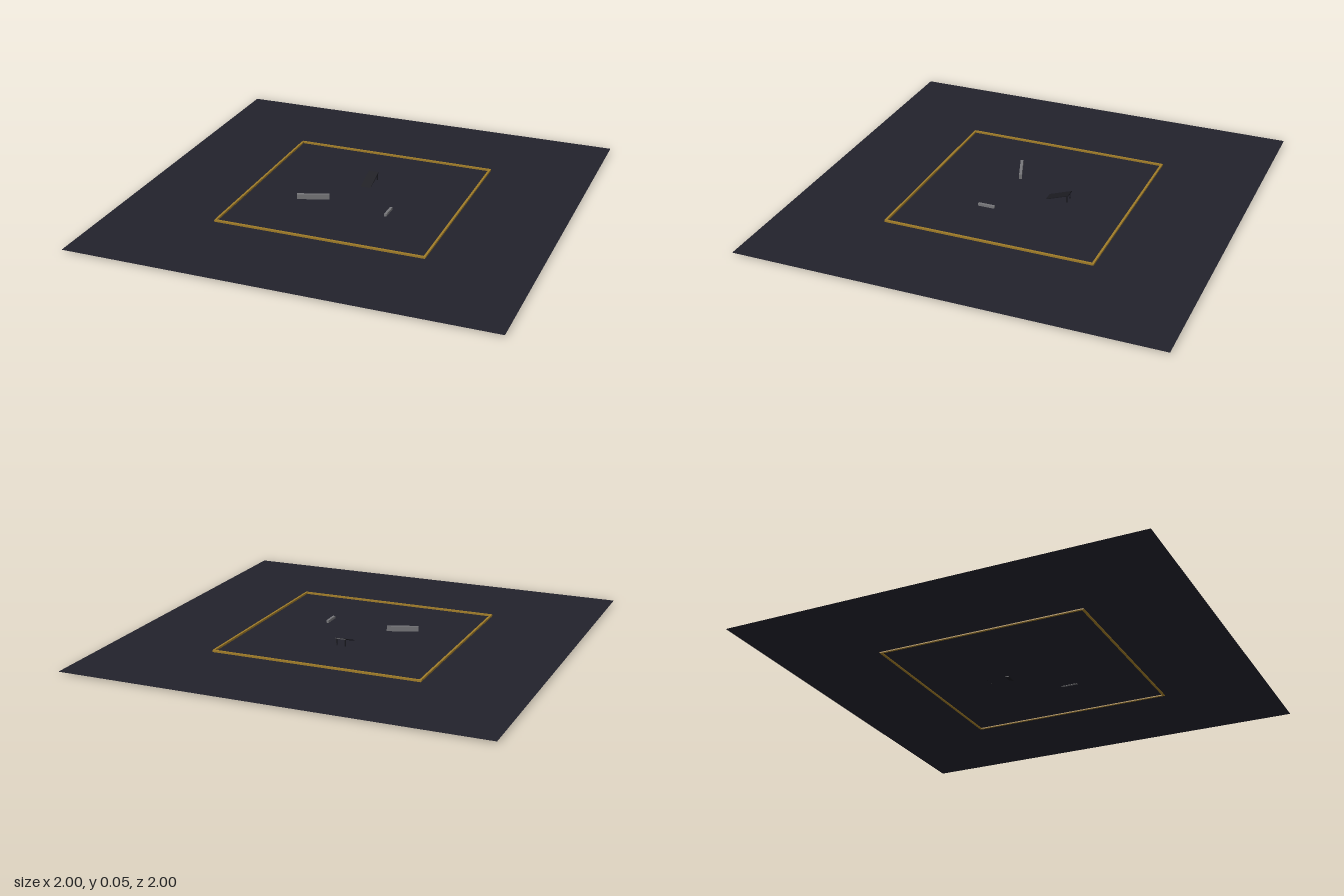
import * as THREE from 'three';

const paint = (name, color, side = THREE.FrontSide) => {
  const m = new THREE.MeshStandardMaterial({ color, side });
  m.name = name;
  return m;
};

export function createModel() {
  const model = new THREE.Group();
  const floorPaint = paint('dark floor', 0x22222c, THREE.DoubleSide);
  const gold = paint('gold', 0xa07c28);
  const grey = paint('grey', 0x77777a);
  const black = paint('black', 0x1a1a20);
  const FLOOR = 0.01;

  const box = (name, material, w, h, d, x, y, z, parent = model) => {
    const mesh = new THREE.Mesh(new THREE.BoxGeometry(w, h, d), material);
    mesh.name = name;
    mesh.position.set(x, y, z);
    parent.add(mesh);
    return mesh;
  };

  // Flat ground sheet
  const floor = new THREE.Mesh(new THREE.PlaneGeometry(2, 2), floorPaint);
  floor.name = 'floor';
  floor.rotation.x = -Math.PI / 2;
  floor.position.y = FLOOR;
  model.add(floor);

  // Low square border, sunk slightly through the floor
  for (const s of [-1, 1]) {
    box('borderCrossways', gold, 1.012, 0.014, 0.01, 0, 0.012, s * 0.502);
    box('borderLengthways', gold, 0.01, 0.014, 0.994, s * 0.502, 0.012, 0);
  }

  // Inclined ramp plate rising to the back, propped on two thin legs
  const ramp = new THREE.Group();
  ramp.name = 'ramp';
  model.add(ramp);
  const run = 0.125, rise = 0.044;
  const plate = box('rampPlate', black, 0.05, 0.004, Math.hypot(run, rise), 0, 0.025, -0.145, ramp);
  plate.rotation.x = Math.atan2(rise, run);
  for (const s of [-1, 1]) {
    box('rampLeg', black, 0.005, 0.036, 0.005, s * 0.021, 0.027, -0.2, ramp);
  }

  // Raised bar set at an angle
  const ledge = box('angledLedge', grey, 0.152, 0.025, 0.013, -0.183, 0.0225, 0.115);
  ledge.rotation.y = 0.34;

  // Short low bar
  box('shortBar', grey, 0.012, 0.013, 0.082, 0.2, 0.0155, 0.132);

  return model;
}
